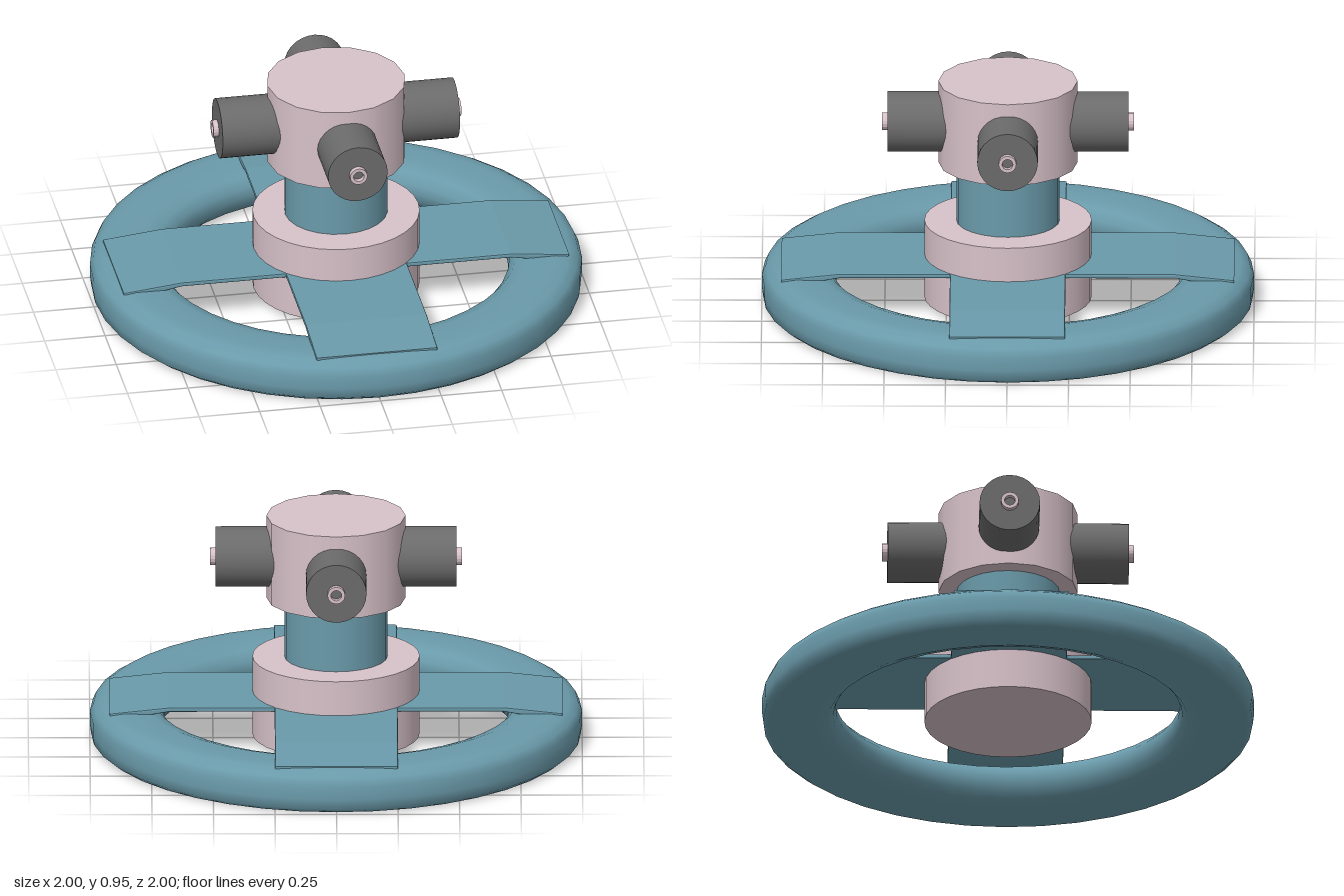
import * as THREE from 'three';

const blue = new THREE.MeshStandardMaterial({ color: 0x6a9aaa });
const pink = new THREE.MeshStandardMaterial({ color: 0xd8c2ca });
const grey = new THREE.MeshStandardMaterial({ color: 0x6b6b6b });

function add(parent, name, geometry, material) {
  const mesh = new THREE.Mesh(geometry, material);
  mesh.name = name;
  parent.add(mesh);
  return mesh;
}

// Upright cylinder between two heights
function drum(parent, name, radius, y0, y1, sides, material) {
  const mesh = add(parent, name, new THREE.CylinderGeometry(radius, radius, y1 - y0, sides), material);
  mesh.position.y = (y0 + y1) / 2;
  return mesh;
}

// Flat strap with sloping ends, extruded across its width
function strapGeometry(width) {
  const bevel = 0.006;
  const top = [[-0.914, 0.174], [-0.68, 0.199], [0.68, 0.199], [0.914, 0.174]];
  const bottom = [[0.914, 0.15], [0.68, 0.192], [-0.68, 0.192], [-0.914, 0.15]];
  const shape = new THREE.Shape([...bottom, ...top].map(([x, y]) => new THREE.Vector2(x, y)));
  const depth = width - 2 * bevel;
  const geometry = new THREE.ExtrudeGeometry(shape, {
    depth, bevelThickness: bevel, bevelSize: bevel, bevelSegments: 2,
  });
  return geometry.translate(0, 0, -depth / 2);
}

export function createModel() {
  const model = new THREE.Group();
  model.name = 'fourWayValve';

  // Thick rounded wheel rim with a flat underside
  const profile = [
    [0.78, 0], [0.97, 0], [0.995, 0.02], [1, 0.06], [1, 0.115], [0.985, 0.148], [0.95, 0.17], [0.9, 0.178],
    [0.79, 0.177], [0.735, 0.16], [0.705, 0.125], [0.7, 0.085], [0.71, 0.045], [0.735, 0.015], [0.78, 0],
  ].map(([r, y]) => new THREE.Vector2(r, y));
  add(model, 'wheelRim', new THREE.LatheGeometry(profile, 40), blue);

  // Two crossing straps form the four spokes
  add(model, 'sideStrap', strapGeometry(0.47), blue);
  add(model, 'frontBackStrap', strapGeometry(0.5), blue).rotation.y = Math.PI / 2;

  // Central stack
  drum(model, 'hub', 0.34, 0.02, 0.35, 32, pink);
  drum(model, 'column', 0.21, 0.35, 0.6, 24, blue);
  drum(model, 'head', 0.283, 0.6, 0.95, 16, pink);

  // Four side ports, each tipped with a small hollow collar
  const collarProfile = [[0.022, 0], [0.036, 0], [0.036, 0.025], [0.022, 0.025], [0.022, 0]]
    .map(([r, y]) => new THREE.Vector2(r, y));
  for (let i = 0; i < 4; i++) {
    const port = new THREE.Group();
    port.name = 'port' + (i + 1);
    port.position.y = 0.775;
    port.rotation.y = i * Math.PI / 2;

    const barrel = add(port, 'barrel', new THREE.CylinderGeometry(0.123, 0.123, 0.29, 28), grey);
    barrel.rotation.x = Math.PI / 2;
    barrel.position.z = 0.345;

    const collar = add(port, 'collar', new THREE.LatheGeometry(collarProfile, 16).toNonIndexed(), pink);
    collar.geometry.computeVertexNormals();
    collar.rotation.x = Math.PI / 2;
    collar.position.z = 0.487;
    model.add(port);
  }
  return model;
}
